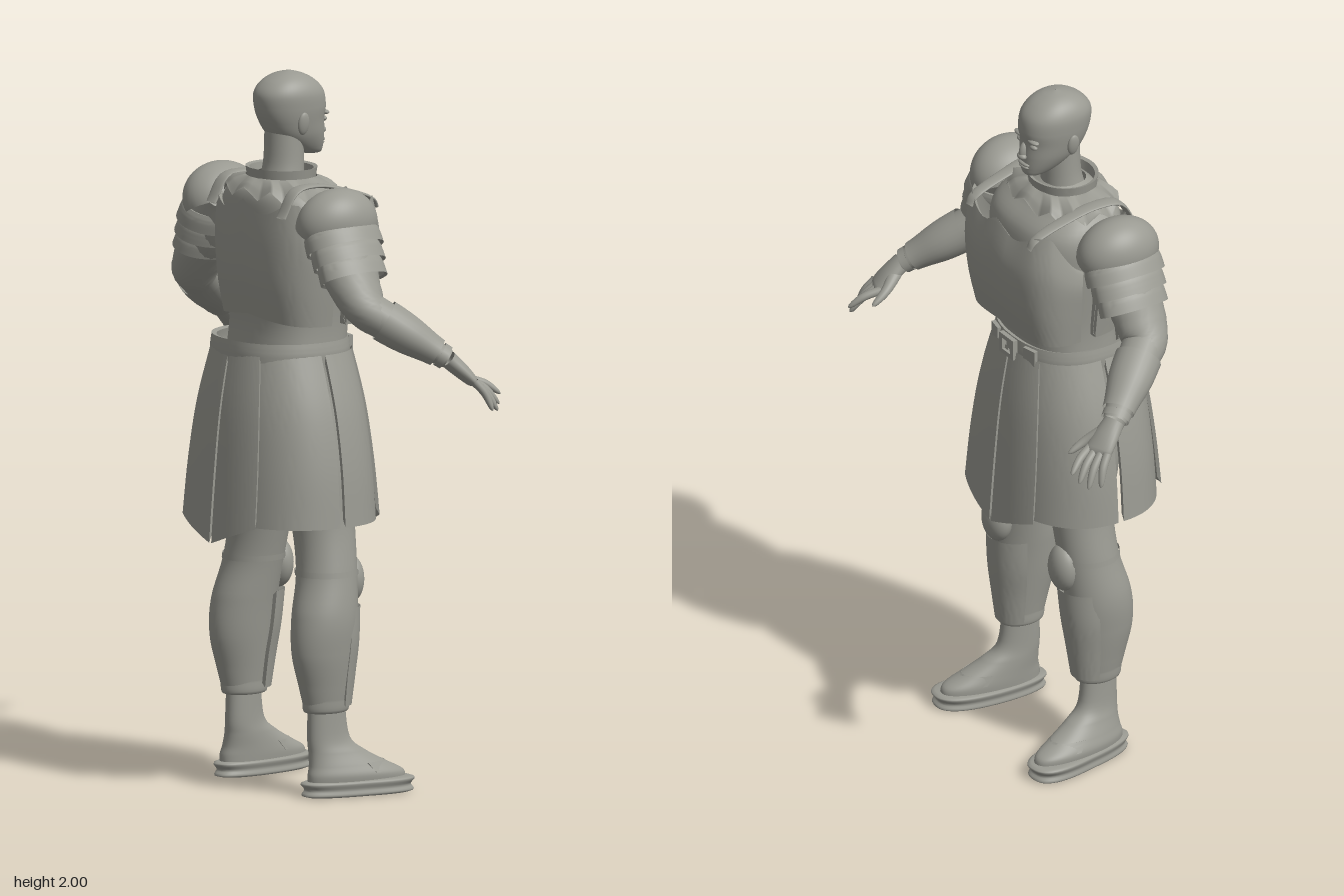
import * as THREE from 'three';
import { toCreasedNormals } from 'three/addons/utils/BufferGeometryUtils.js';
import { ParametricGeometry } from 'three/addons/geometries/ParametricGeometry.js';

const clay = new THREE.MeshStandardMaterial({ color: 0x9a9a92, side: THREE.DoubleSide });
clay.name = 'warm grey';
const V = (x, y, z) => new THREE.Vector3(x, y, z);
const rad = Math.PI / 180;

function add(group, name, geometry) {
  const m = new THREE.Mesh(geometry, clay);
  m.name = name;
  group.add(m);
  return m;
}

// Smooth interpolation through rows of numbers
function sample(rows, v) {
  const f = Math.min(Math.max(v, 0), 1) * (rows.length - 1);
  const i = Math.min(Math.floor(f), rows.length - 2), t = f - i;
  const a = rows[Math.max(i - 1, 0)], b = rows[i], c = rows[i + 1], d = rows[Math.min(i + 2, rows.length - 1)];
  return b.map((_, k) => {
    const m0 = (c[k] - a[k]) / 2, m1 = (d[k] - b[k]) / 2;
    return (2 * t ** 3 - 3 * t * t + 1) * b[k] + (t ** 3 - 2 * t * t + t) * m0
      + (3 * t * t - 2 * t ** 3) * c[k] + (t ** 3 - t * t) * m1;
  });
}

// Stacked superellipse rings, rows = [y, cx, cz, rx, rz]; angle 90 faces -z.
// With thickness t it becomes a closed plate; warp(point, angle, v) reshapes it.
function loft(rows, { n = 2, a0 = 0, a1 = 360, t = 0, warp = null, slices = 50 } = {}) {
  const pw = s => Math.sign(s) * Math.abs(s) ** (2 / n);
  const g = new ParametricGeometry((u, v, p) => {
    let w = u, off = 0;
    if (t) {
      const inner = u > 0.49 && u < 0.99;
      w = u > 0.99 ? 0 : inner ? 1 - Math.min((u - 0.5) / 0.48, 1) : Math.min(u / 0.48, 1);
      off = inner && v > 0.001 && v < 0.999 ? t : 0;
    }
    const [y, cx, cz, rx, rz] = sample(rows, v);
    const a = (a0 + (a1 - a0) * w) * rad;
    p.set(cx + pw(Math.cos(a)) * (rx - off), y, cz - pw(Math.sin(a)) * (rz - off));
    if (warp) warp(p, a, v);
  }, slices, Math.max(8, (rows.length - 1) * 5));
  return t ? toCreasedNormals(g, 0.7) : g;
}

// Limb along a path, radii = [wide, thin] pairs
function limb(points, radii, round = false) {
  const curve = new THREE.CatmullRomCurve3(points);
  return new ParametricGeometry((u, v, p) => {
    const c = curve.getPoint(v), T = curve.getTangent(Math.min(Math.max(v, 0), 1));
    const N = V(-T.z, 0, T.x).normalize(), B = N.clone().cross(T);
    const [w, h] = sample(radii, v), k = round ? Math.sqrt(Math.max(0, 1 - v ** 8)) : 1;
    const a = u * Math.PI * 2;
    p.copy(c).addScaledVector(N, Math.cos(a) * w * k).addScaledVector(B, -Math.sin(a) * h * k);
  }, 24, 20);
}

function ball(group, name, pos, size) {
  const m = add(group, name, new THREE.SphereGeometry(1, 28, 18));
  m.position.set(...pos);
  m.scale.set(...size);
  return m;
}

function buildHead(g) {
  add(g, 'neck', loft([[1.69, 0, 0.045, 0.066, 0.062], [1.75, 0, 0.038, 0.058, 0.055], [1.86, 0, 0.035, 0.055, 0.055]]));
  // rows given as y, half width, face z, nape z
  const rows = [[1.76, 0.004, -0.062, -0.05], [1.765, 0.028, -0.081, -0.02], [1.785, 0.046, -0.086, 0.03],
    [1.82, 0.064, -0.086, 0.08], [1.86, 0.074, -0.084, 0.107], [1.9, 0.08, -0.088, 0.121], [1.94, 0.08, -0.08, 0.122],
    [1.97, 0.066, -0.054, 0.1], [1.99, 0.04, -0.018, 0.064], [2, 0.001, 0.02, 0.022]]
    .map(([y, w, f, b]) => [y, 0, (f + b) / 2, w, (b - f) / 2]);
  add(g, 'head', loft(rows, { n: 2.2 }));
  const nose = ball(g, 'nose', [0, 1.838, -0.084], [0.012, 0.028, 0.014]);
  nose.rotation.x = 0.2;
  ball(g, 'noseTip', [0, 1.823, -0.09], [0.017, 0.01, 0.012]);
  ball(g, 'upperLip', [0, 1.799, -0.083], [0.025, 0.006, 0.01]);
  ball(g, 'lowerLip', [0, 1.79, -0.082], [0.022, 0.006, 0.01]);
  for (const s of [-1, 1]) {
    const ear = ball(g, 'ear', [s * 0.08, 1.86, 0.027], [0.009, 0.032, 0.018]);
    ear.rotation.z = -s * 0.15;
    ball(g, 'eye', [s * 0.032, 1.86, -0.072], [0.015, 0.008, 0.01]);
    ball(g, 'brow', [s * 0.032, 1.878, -0.074], [0.024, 0.007, 0.012]);
  }
}

function buildTorso(g) {
  add(g, 'tunic', loft([[0.97, 0, 0.04, 0.01, 0.01], [1.02, 0, 0.04, 0.17, 0.12], [1.2, 0, 0.03, 0.178, 0.135],
    [1.32, 0, 0.02, 0.18, 0.135], [1.5, 0, 0.02, 0.2, 0.15], [1.61, 0, 0.025, 0.205, 0.145],
    [1.67, 0, 0.045, 0.17, 0.115], [1.7, 0, 0.045, 0.1, 0.085], [1.72, 0, 0.045, 0.06, 0.06]], { n: 2.6 }));

  // Breast and back plates: shaped neckline, arm openings, centre ridge and arched hem
  const plate = [[1.31, 0, 0, 0.203, 0.153], [1.42, 0, -0.002, 0.216, 0.173], [1.54, 0, -0.003, 0.224, 0.178],
    [1.645, 0, 0.005, 0.212, 0.165]];
  const shape = (p, a, v) => {
    const k = Math.abs(Math.sin(a)), x = Math.min(Math.abs(p.x) / 0.2, 1);
    const neckline = 0.035 * Math.sin(Math.min(x, 0.8) / 0.8 * Math.PI) - 0.01;
    const arm = 0.13 * Math.max(0, 1 - k / 0.55);
    p.y += v * v * (-neckline - arm) + (1 - v) * 0.022 * (1 - x);
    p.z += Math.sign(p.z) * 0.014 * (1 - x) * (p.z < 0 ? 1 : 0.4);
  };
  add(g, 'breastPlate', loft(plate, { n: 4, a0: 2, a1: 178, t: 0.012, warp: shape, slices: 100 }));
  add(g, 'backPlate', loft(plate, { n: 3.2, a0: 182, a1: 358, t: 0.012, warp: shape, slices: 100 }));

  // Neck ring and pointed collar
  add(g, 'neckRing', loft([[1.695, 0, 0.045, 0.1, 0.09], [1.735, 0, 0.045, 0.106, 0.096]], { t: 0.01, slices: 100 }));
  add(g, 'pointedCollar', loft([[1.655, 0, 0.045, 0.185, 0.128], [1.685, 0, 0.045, 0.155, 0.112], [1.71, 0, 0.045, 0.1, 0.09]], {
    n: 2.4, slices: 96,
    warp: (p, a, v) => { p.y += (1 - v) * 0.03 * Math.abs(((a / rad / 30) % 1) * 2 - 1); },
  }));

  // Shoulder straps
  for (const s of [-1, 1]) {
    const path = [V(s * 0.15, 1.62, -0.165), V(s * 0.152, 1.643, -0.15), V(s * 0.155, 1.68, -0.05),
      V(s * 0.16, 1.7, 0.05), V(s * 0.165, 1.69, 0.12), V(s * 0.165, 1.62, 0.165)];
    add(g, 'shoulderStrap', limb(path, [[0.014, 0.006], [0.022, 0.006], [0.022, 0.006]]));
  }
}

function buildSkirt(g) {
  add(g, 'belt', loft([[1.205, 0, 0.05, 0.199, 0.176], [1.235, 0, 0.05, 0.2, 0.176], [1.265, 0, 0.05, 0.195, 0.173]],
    { t: 0.014, n: 2.3, slices: 100 }));
  const frame = new THREE.Shape([[-0.035, -0.03], [0.035, -0.03], [0.035, 0.03], [-0.035, 0.03]].map(p => new THREE.Vector2(...p)));
  frame.holes.push(new THREE.Path([[-0.02, -0.017], [-0.02, 0.017], [0.02, 0.017], [0.02, -0.017]].map(p => new THREE.Vector2(...p))));
  add(g, 'buckle', new THREE.ExtrudeGeometry(frame, { depth: 0.014, bevelEnabled: false })).position.set(0, 1.237, -0.142);
  for (const s of [-1, 1]) {
    const stud = add(g, 'beltPlate', new THREE.BoxGeometry(0.045, 0.045, 0.012));
    stud.position.set(s * 0.085, 1.237, -0.118);
    stud.rotation.y = s * -0.2;
  }

  // Four side panels and four centre flaps with pointed hems
  const side = [[0.76, 0, 0.046, 0.293, 0.219], [0.92, 0, 0.046, 0.28, 0.209], [1.08, 0, 0.046, 0.25, 0.195], [1.23, 0, 0.046, 0.2, 0.172]];
  const flap = side.map(([y, x, z, rx, rz]) => [y, x, z, rx + 0.004, rz + 0.006 + (1.23 - y) * 0.034]);
  for (const q of [0, 1, 2, 3]) {
    const flip = q % 2, base = q * 90;
    const range = (lo, hi) => (flip ? { a0: base + 90 - hi, a1: base + 90 - lo } : { a0: base + lo, a1: base + hi });
    add(g, 'skirtSidePanel', loft(side, { n: 2.4, t: 0.01, ...range(1.2, 66) }));
    add(g, 'skirtFlap', loft(flap, {
      n: 2.4, t: 0.009, ...range(59, 89.6),
      warp: (p, a, v) => { p.y -= (1 - v) ** 2 * 0.06 * Math.max(0, 1 - Math.abs(p.x) / 0.17); },
    }));
  }
}

function buildArm(g) {
  const shoulder = V(0.25, 1.62, 0.05), elbow = V(0.41, 1.385, 0.045), wrist = V(0.535, 1.25, -0.135);
  add(g, 'upperArm', limb([shoulder, V(0.32, 1.51, 0.055), V(0.375, 1.43, 0.056), elbow, V(0.44, 1.35, 0.005)],
    [[0.085, 0.075], [0.085, 0.07], [0.074, 0.062], [0.064, 0.056], [0.056, 0.05]]));
  add(g, 'forearm', limb([elbow, V(0.47, 1.32, -0.04), wrist], [[0.06, 0.054], [0.056, 0.05], [0.034, 0.027]]));
  const along = t => elbow.clone().lerp(wrist, t);
  add(g, 'bracer', limb([along(0.2), along(0.5), along(0.87)], [[0.066, 0.06], [0.062, 0.055], [0.046, 0.04]]));
  add(g, 'wristBand', limb([along(0.9), along(0.98)], [[0.041, 0.035], [0.04, 0.034]]));

  // Hand
  const knuckle = V(0.555, 1.187, -0.2), across = V(0.96, 0, 0.27);
  add(g, 'palm', limb([wrist, V(0.546, 1.215, -0.172), knuckle, V(0.56, 1.175, -0.212)],
    [[0.032, 0.025], [0.04, 0.022], [0.043, 0.017], [0.038, 0.013]], true));
  const tips = [V(0.563, 1.14, -0.295), V(0.578, 1.115, -0.28), V(0.597, 1.1, -0.262), V(0.615, 1.105, -0.232)];
  tips.forEach((tip, i) => {
    const root = knuckle.clone().addScaledVector(across, -0.031 + i * 0.021);
    const bend = root.clone().lerp(tip, 0.5).add(V(0, 0.007, -0.004));
    add(g, 'finger', limb([root, bend, tip], [[0.0125, 0.012], [0.0115, 0.011], [0.009, 0.008]], true));
  });
  add(g, 'thumb', limb([V(0.525, 1.225, -0.165), V(0.502, 1.195, -0.21), V(0.493, 1.165, -0.26)],
    [[0.02, 0.017], [0.014, 0.013], [0.01, 0.009]], true));

  // Pauldron: dome with three overlapping bands
  const dome = add(g, 'pauldronDome', new THREE.SphereGeometry(1, 36, 20, 0, Math.PI * 2, 0, Math.PI * 0.56));
  dome.position.set(0.268, 1.605, 0.05);
  dome.scale.set(0.092, 0.107, 0.122);
  dome.rotation.z = -0.42;
  const bands = new THREE.Group();
  bands.name = 'pauldronBands';
  bands.position.set(0.28, 1.6, 0.05);
  bands.rotation.z = 0.48;
  g.add(bands);
  for (const i of [0, 1, 2]) {
    const y = -0.01 - i * 0.045, rx = 0.083 - i * 0.008, rz = 0.119 - i * 0.007;
    add(bands, 'pauldronBand', loft([[y - 0.055, 0, 0, rx, rz], [y - 0.02, 0, 0, rx - 0.002, rz - 0.002], [y, 0, 0, rx - 0.008, rz - 0.008]],
      { t: 0.008, slices: 100 }));
  }
}

function buildLeg(g) {
  add(g, 'leg', loft([[0.235, 0.193, 0.033, 0.048, 0.064], [0.3, 0.194, 0.036, 0.058, 0.078], [0.4, 0.194, 0.042, 0.073, 0.095],
    [0.5, 0.19, 0.035, 0.082, 0.096], [0.62, 0.172, 0.015, 0.082, 0.086], [0.76, 0.146, 0.01, 0.086, 0.09],
    [0.92, 0.125, 0.025, 0.1, 0.11], [1.12, 0.1, 0.035, 0.09, 0.115]]));
  add(g, 'ankleCuff', loft([[0.232, 0.193, 0.033, 0.03, 0.045], [0.236, 0.193, 0.033, 0.05, 0.067], [0.27, 0.194, 0.033, 0.054, 0.07]]));
  add(g, 'greave', loft([[0.25, 0.19, 0.022, 0.058, 0.067], [0.34, 0.188, 0.024, 0.07, 0.082], [0.43, 0.184, 0.02, 0.082, 0.09],
    [0.525, 0.178, 0.015, 0.084, 0.092]], { a0: 15, a1: 165, t: 0.012 }));
  ball(g, 'kneeCap', [0.167, 0.592, -0.062], [0.052, 0.07, 0.04]);
  const strap = loft([[0.612, 0.173, 0.016, 0.085, 0.089], [0.628, 0.171, 0.015, 0.085, 0.089]]);
  add(g, 'kneeStrap', strap);

  // Shoe, toes turned slightly outward
  const shoe = new THREE.Group();
  shoe.name = 'shoe';
  shoe.position.set(0.222, 0, -0.05);
  shoe.rotation.y = -0.12;
  g.add(shoe);
  const sole = p => { p.x += p.z < 0 ? -p.z * 0.04 : 0; p.x *= 1 - p.z * 0.9; };
  add(shoe, 'sole', loft([[0, 0, 0, 0.001, 0.001], [0, 0, 0, 0.058, 0.155], [0.02, 0, 0, 0.06, 0.158], [0.042, 0, 0, 0.06, 0.158],
    [0.043, 0, 0, 0.001, 0.001]], { n: 2.6, warp: sole }));
  add(shoe, 'upper', loft([[0.038, 0, 0, 0.056, 0.15], [0.06, 0, 0.004, 0.057, 0.145], [0.085, -0.004, 0.025, 0.052, 0.118],
    [0.12, -0.01, 0.056, 0.044, 0.085], [0.16, -0.014, 0.08, 0.037, 0.063], [0.25, -0.016, 0.086, 0.034, 0.055]], { n: 2.2 }));
  add(shoe, 'instepStrap', loft([[0.062, 0, 0.01, 0.06, 0.132], [0.09, -0.004, 0.028, 0.054, 0.114]], { a0: 20, a1: 160, t: 0.006 }));
}

export function createModel() {
  const model = new THREE.Group();
  model.name = 'armouredFigure';
  buildHead(model);
  buildTorso(model);
  buildSkirt(model);
  for (const [name, s] of [['left', 1], ['right', -1]]) {
    for (const [part, build] of [['Arm', buildArm], ['Leg', buildLeg]]) {
      const g = new THREE.Group();
      g.name = name + part;
      build(g);
      g.scale.x = s;
      model.add(g);
    }
  }
  return model;
}
